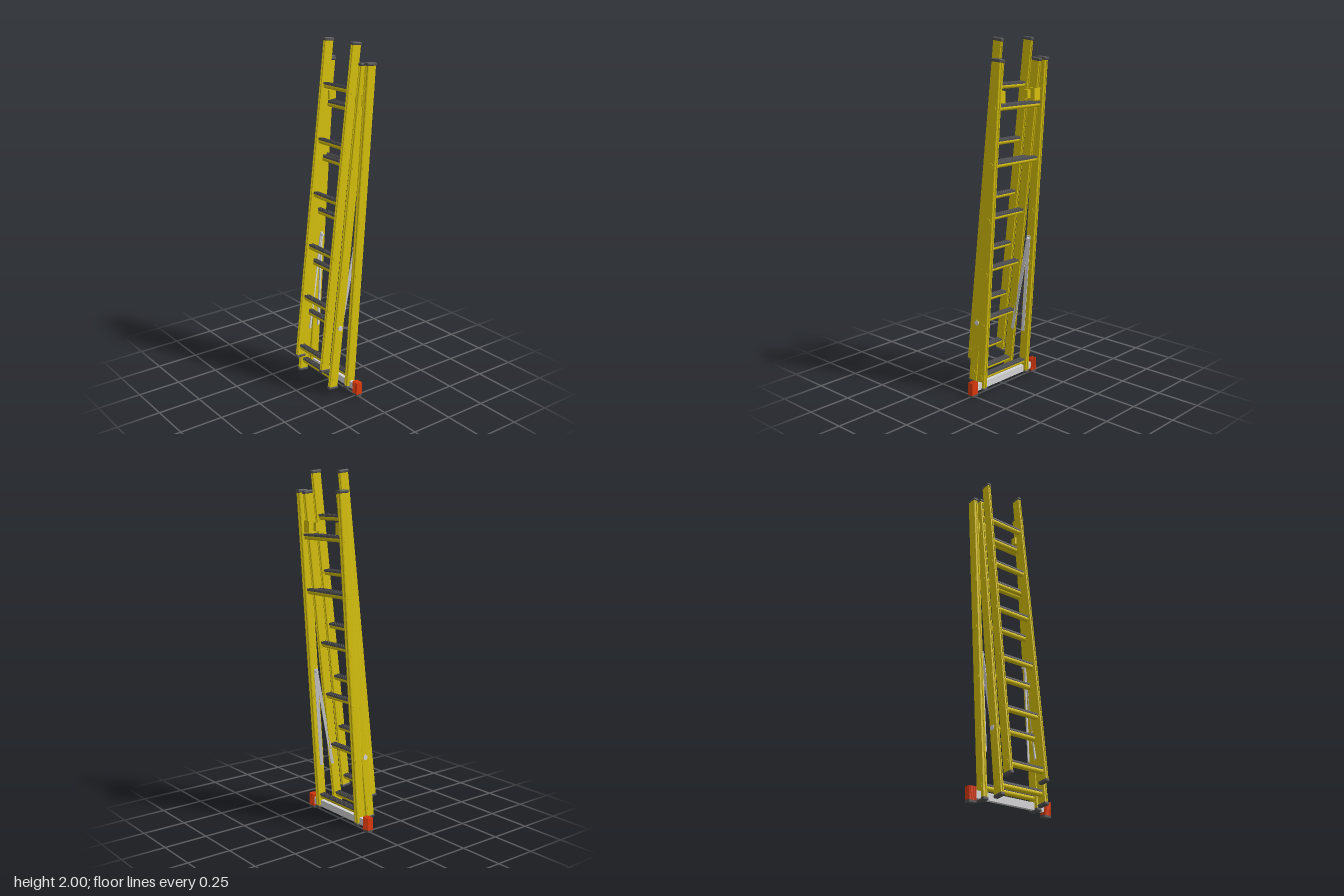
import * as THREE from 'three';
import { RoundedBoxGeometry } from 'three/addons/geometries/RoundedBoxGeometry.js';

const mat = (name, color) => new THREE.MeshStandardMaterial({ name, color });

export function createModel() {
  const yellow = mat('yellow', 0xd8c20c);
  const grey = mat('dark grey', 0x555557);
  const metal = mat('light metal', 0xd6d6d8);
  const red = mat('red', 0xdc3a0c);
  const model = new THREE.Group();
  model.name = 'ladder';

  const add = (parent, name, geometry, material, x = 0, y = 0, z = 0) => {
    const mesh = new THREE.Mesh(geometry, material);
    mesh.name = name;
    mesh.position.set(x, y, z);
    parent.add(mesh);
    return mesh;
  };
  const box = (w, h, d) => new THREE.BoxGeometry(w, h, d);

  // Rail: rounded section with shallow grooves on its narrow faces
  function railGeometry(w, d, length) {
    const a = w / 2, b = d / 2, c = d * 0.22, g = 0.0025;
    const side = [
      [a - c, -b], [a - c * 0.3, -b + c * 0.3], [a, -b + c], [a, -d * 0.18], [a - g, -d * 0.13],
      [a - g, -d * 0.05], [a, 0], [a - g, d * 0.05], [a - g, d * 0.13], [a, d * 0.18],
      [a, b - c], [a - c * 0.3, b - c * 0.3], [a - c, b],
    ];
    const points = [...side, ...side.map(([x, y]) => [-x, -y])];
    const shape = new THREE.Shape(points.map(([x, y]) => new THREE.Vector2(x, y)));
    return new THREE.ExtrudeGeometry(shape, { depth: length, bevelEnabled: false }).rotateX(-Math.PI / 2);
  }

  // One rung: round body with a ribbed tread on top
  function addRung(parent, y, halfSpan) {
    const rung = new THREE.Group();
    rung.name = 'rung';
    rung.position.y = y;
    parent.add(rung);
    add(rung, 'rungBody', new THREE.CylinderGeometry(0.015, 0.015, halfSpan * 2, 16).rotateX(Math.PI / 2), yellow);
    add(rung, 'rungTread', box(0.033, 0.008, halfSpan * 2), grey, 0, 0.011);
    for (let i = -2; i <= 2; i++) {
      add(rung, 'treadRib', box(0.003, 0.004, halfSpan * 2), grey, i * 0.007, 0.017);
    }
  }

  // One section: two rails with end caps, rungs and the round rung ends
  function addSection(name, bottom, top, railZ, railDepth, rungHeights, collarHeights) {
    const section = new THREE.Group();
    section.name = name;
    const dx = top[0] - bottom[0], dy = top[1] - bottom[1];
    const length = Math.hypot(dx, dy);
    section.position.set(bottom[0], bottom[1], 0);
    section.rotation.z = -Math.atan2(dx, dy);
    model.add(section);
    const along = (y) => (y - bottom[1]) * length / dy;
    for (const s of [1, -1]) {
      add(section, 'rail', railGeometry(0.057, railDepth, length - 0.01), yellow, 0, 0.005, s * railZ);
      for (const y of [0.006, length - 0.006]) {
        add(section, 'railCap', new RoundedBoxGeometry(0.064, 0.018, railDepth + 0.005, 3, 0.006), grey, 0, y, s * railZ);
      }
      for (const y of collarHeights) {
        add(section, 'rungEnd', new THREE.CylinderGeometry(0.019, 0.019, railDepth + 0.004, 20).rotateX(Math.PI / 2),
          yellow, 0, along(y), s * railZ);
      }
    }
    for (const y of rungHeights) addRung(section, along(y), railZ);
  }

  const series = (start) => Array.from({ length: 6 }, (_, i) => start + i * 0.307);
  const even = series(0.2), odd = series(0.092);
  addSection('innerSection', [-0.135, 0.14], [0.077, 1.99], 0.12, 0.021, even, even);
  addSection('middleSection', [-0.097, 0.03], [0.111, 1.88], 0.148, 0.023, odd, odd);
  addSection('outerSection', [0, 0.022], [0.128, 1.885], 0.18, 0.03, [odd[0], odd[4], odd[5]], odd);

  // Stabiliser bar across the foot
  add(model, 'stabiliserBar', box(0.024, 0.04, 0.5), metal, 0.003, 0.047);

  // Bar of rectangular section between two points
  function addStrut(from, to) {
    const a = new THREE.Vector3(...from), b = new THREE.Vector3(...to);
    const strut = add(model, 'strut', box(0.018, a.distanceTo(b), 0.007), metal);
    strut.position.copy(a).add(b).multiplyScalar(0.5);
    strut.quaternion.setFromUnitVectors(new THREE.Vector3(0, 1, 0), b.sub(a).normalize());
  }

  for (const s of [1, -1]) {
    // Ribbed stabiliser foot with a dark sole
    add(model, 'stabiliserFoot', box(0.031, 0.07, 0.044), red, 0.002, 0.047, s * 0.252);
    add(model, 'footSole', box(0.034, 0.014, 0.045), grey, 0.002, 0.007, s * 0.252);
    for (let i = 0; i < 6; i++) {
      add(model, 'footRib', box(0.036, 0.073, 0.004), red, 0.002, 0.0475, s * (0.232 + i * 0.0081));
    }
    // Spreader struts and their pivots
    addStrut([0.052, 0.87, s * 0.158], [-0.05, 0.29, s * 0.137]);
    addStrut([0.055, 0.87, s * 0.158], [0.02, 0.29, s * 0.15]);
    add(model, 'strutPivot', new THREE.CylinderGeometry(0.008, 0.008, 0.05, 12).rotateX(Math.PI / 2),
      metal, 0.054, 0.855, s * 0.165);
    add(model, 'strutPivot', new THREE.CylinderGeometry(0.015, 0.015, 0.035, 16).rotateX(Math.PI / 2),
      metal, -0.053, 0.4, s * 0.148);
    // Guide bracket holding the sections together
    add(model, 'guideBracket', box(0.04, 0.065, 0.048), yellow, 0.105, 1.685, s * 0.142);
    add(model, 'guideBracketArm', box(0.03, 0.045, 0.04), yellow, 0.08, 1.685, s * 0.115);
  }
  return model;
}
